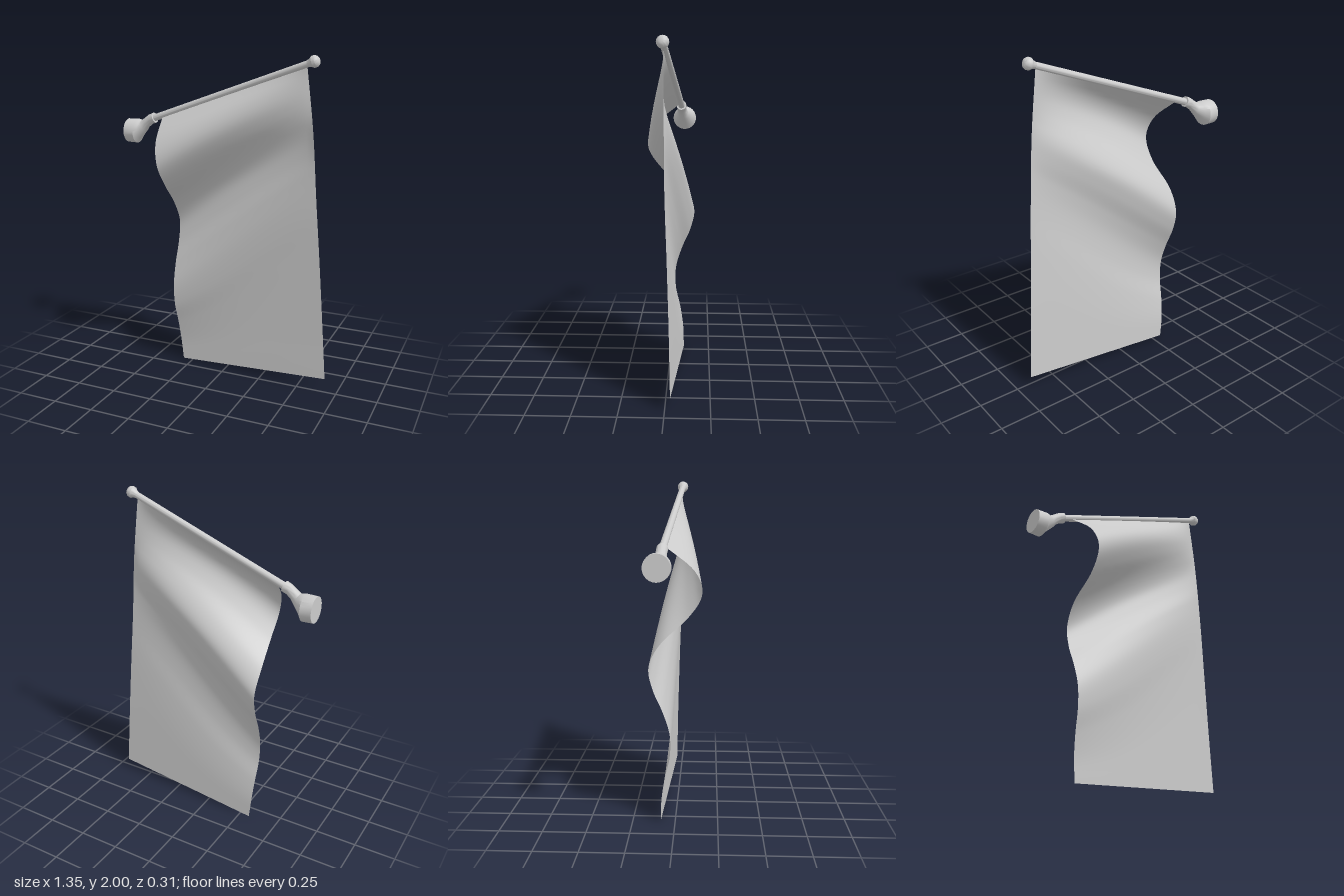
import * as THREE from 'three';
import { toCreasedNormals } from 'three/addons/utils/BufferGeometryUtils.js';

const V = (x, y, z) => new THREE.Vector3(x, y, z);
const poleStart = V(-0.5, 1.592, -0.062);
const poleEnd = V(0.55, 1.96, 0.012);
const poleDir = poleEnd.clone().sub(poleStart).normalize();

// Surface through a grid of points: point(i, j) for i in 0..nu, j in 0..nv
function gridGeometry(nu, nv, point) {
  const pos = [], index = [];
  for (let j = 0; j <= nv; j++) {
    for (let i = 0; i <= nu; i++) pos.push(...point(i / nu, j / nv).toArray());
  }
  for (let j = 0; j < nv; j++) {
    for (let i = 0; i < nu; i++) {
      const a = j * (nu + 1) + i, b = a + 1, c = a + nu + 1, d = c + 1;
      index.push(a, c, b, b, c, d);
    }
  }
  const g = new THREE.BufferGeometry();
  g.setAttribute('position', new THREE.Float32BufferAttribute(pos, 3));
  g.setIndex(index);
  g.computeVertexNormals();
  return g;
}

// Free edge: x position and fold depth at equal steps from pole to hem
const freeX = [-0.42, -0.385, -0.358, -0.35, -0.365, -0.362, -0.36, -0.357, -0.352, -0.347, -0.338, -0.328, -0.315];
const foldZ = [0, 0.163, 0.208, 0.129, -0.013, -0.083, -0.06, 0, 0.043, 0.046, 0.019, 0.002, 0];
const freeEdge = new THREE.CatmullRomCurve3(freeX.map((x, i) => V(x, 0, foldZ[i])), false, 'catmullrom', 0.5);
// Taut edge below the pole tip
const tautEdge = new THREE.CatmullRomCurve3(
  [V(0.515, 1.94, 0.01), V(0.56, 1.57, 0.007), V(0.589, 1.19, 0.003), V(0.617, 0.82, -0.01), V(0.644, 0.44, -0.022), V(0.67, 0.07, -0.03)],
  false, 'catmullrom', 0.5);

function clothPoint(u, v) {
  const taut = tautEdge.getPoint(v);
  const left = V(freeEdge.getPoint(v).x, 1.61 * (1 - v), -0.05 - 0.035 * v);
  const p = left.lerp(taut, u);
  // folds rise toward the pole tip and flatten out there
  const w = Math.min(1, v + 1.3 * u * v * (1 - v));
  const d = freeEdge.getPoint(w).z;
  p.z += d * Math.pow(1 - u, d > 0 ? 0.9 : 0.65);
  return p;
}

// Closed tube of round sections, each { c: centre, r: radius, n: axis }
function loft(sections, sides = 24) {
  const first = sections[0], last = sections[sections.length - 1];
  const rings = [{ ...first, r: 0 }, ...sections, { ...last, r: 0 }];
  const n = rings.length - 1;
  const g = gridGeometry(sides, n, (u, v) => {
    const s = rings[Math.round(v * n)];
    const side = V(0, 0, 1).addScaledVector(s.n, -s.n.z).normalize();
    const up = side.clone().cross(s.n);
    const a = u * Math.PI * 2;
    return s.c.clone().addScaledVector(side, Math.cos(a) * s.r).addScaledVector(up, -Math.sin(a) * s.r);
  });
  // orient the faces outward
  const idx = g.index.array;
  const p = g.attributes.position;
  const at = (k) => V(0, 0, 0).fromBufferAttribute(p, k);
  const t = (sides * 2) * 3; // first face between sections 0 and 1
  const [a, b, c] = [at(idx[t]), at(idx[t + 1]), at(idx[t + 2])];
  const normal = b.clone().sub(a).cross(c.clone().sub(a));
  if (normal.dot(a.sub(first.c)) < 0) {
    for (let k = 0; k < idx.length; k += 3) [idx[k + 1], idx[k + 2]] = [idx[k + 2], idx[k + 1]];
  }
  return toCreasedNormals(g, 0.6);
}

export function createModel() {
  const group = new THREE.Group();
  const solid = new THREE.MeshStandardMaterial({ color: 0xcccccc });
  const sheet = new THREE.MeshStandardMaterial({ color: 0xcccccc, side: THREE.DoubleSide });
  const add = (name, geometry, material = solid) => {
    const mesh = new THREE.Mesh(geometry, material);
    mesh.name = name;
    group.add(mesh);
  };

  // hanging cloth
  add('flagCloth', gridGeometry(40, 70, clothPoint), sheet);

  // slanted pole
  const pole = (d, r) => ({ c: poleEnd.clone().addScaledVector(poleDir, d), r, n: poleDir });
  add('pole', loft([{ c: poleStart, r: 0.021, n: poleDir }, pole(0, 0.019)]));

  // flared knob at the pole tip
  add('poleKnob', loft([pole(-0.035, 0.019), pole(-0.015, 0.025), pole(-0.002, 0.034),
    pole(0.015, 0.034), pole(0.028, 0.026), pole(0.034, 0.016)]));

  // wall mount: disc, tapering neck and bent collar
  const X = V(1, 0, 0);
  const tilt = V(1, 0.5, 0.1).normalize();
  add('wallMount', loft([
    { c: V(-0.677, 1.51, -0.08), r: 0.074, n: X },
    { c: V(-0.612, 1.51, -0.08), r: 0.076, n: X },
    { c: V(-0.59, 1.523, -0.075), r: 0.058, n: X },
    { c: V(-0.562, 1.545, -0.068), r: 0.037, n: tilt },
    { c: V(-0.54, 1.565, -0.064), r: 0.031, n: tilt },
    { c: V(-0.51, 1.588, -0.062), r: 0.031, n: poleDir },
    { c: V(-0.48, 1.6, -0.06), r: 0.032, n: poleDir },
  ]));
  return group;
}
